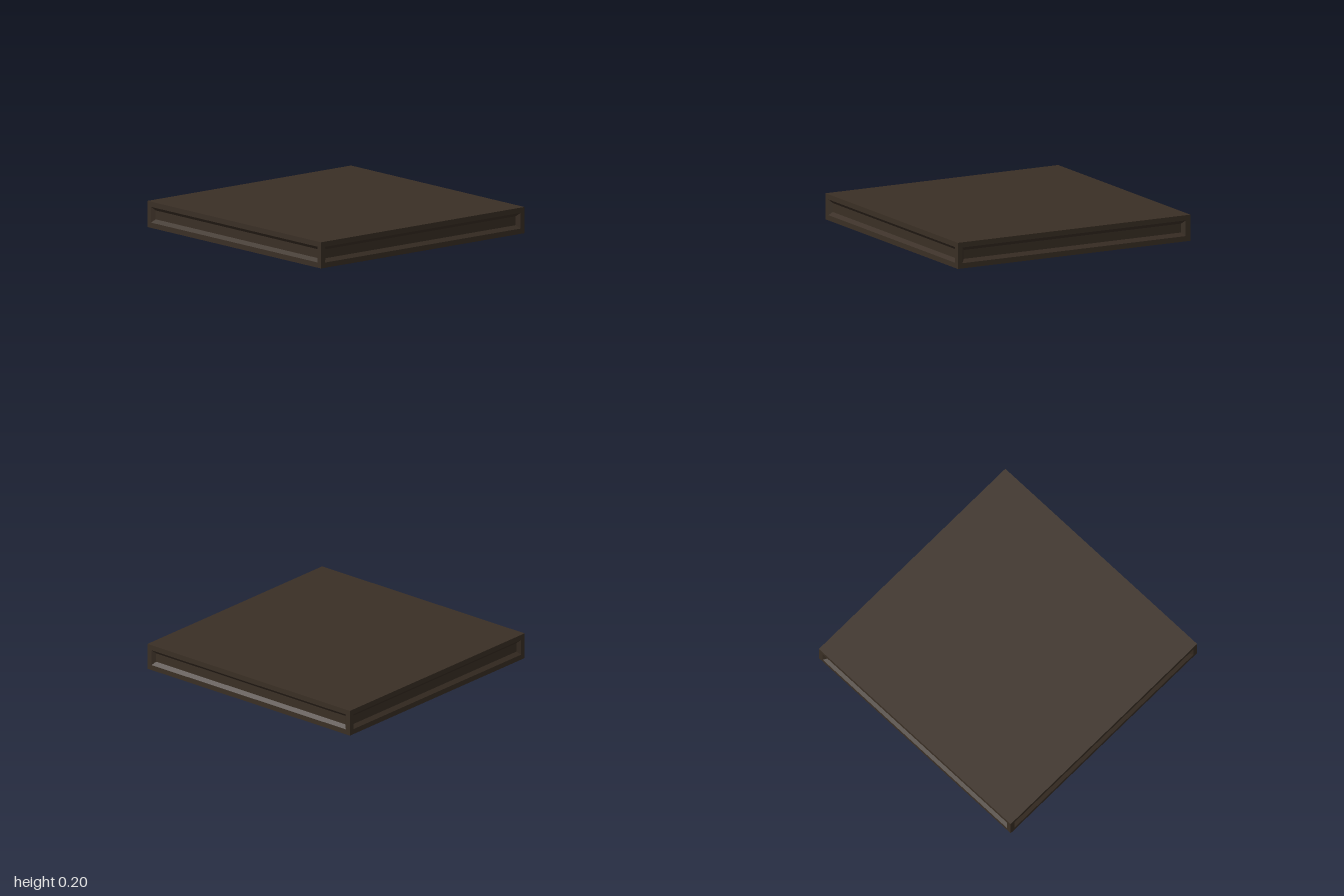
import * as THREE from 'three';

// rectangle corners, counter-clockwise seen from +z
const rect = (x0, y0, x1, y1, z) => [[x0, y0, z], [x1, y0, z], [x1, y1, z], [x0, y1, z]];

// joins nested rectangles from the outside in, then closes the innermost one
function steppedPanel(loops) {
  const pos = [];
  const quad = (a, b, c, d) => pos.push(...a, ...b, ...c, ...a, ...c, ...d);
  for (let k = 0; k < loops.length - 1; k++) {
    for (let i = 0; i < 4; i++) {
      const j = (i + 1) % 4;
      quad(loops[k][i], loops[k][j], loops[k + 1][j], loops[k + 1][i]);
    }
  }
  quad(...loops[loops.length - 1]);
  const geo = new THREE.BufferGeometry();
  geo.setAttribute('position', new THREE.Float32BufferAttribute(pos, 3));
  geo.computeVertexNormals();
  return geo;
}

export function createModel() {
  const group = new THREE.Group();
  const brown = new THREE.MeshStandardMaterial({ color: 0x3a2f25 });
  brown.name = 'dark brown';
  const add = (name, geo) => {
    const mesh = new THREE.Mesh(geo, brown);
    mesh.name = name;
    group.add(mesh);
    return mesh;
  };

  // flat top
  add('top', new THREE.PlaneGeometry(2, 2).rotateX(-Math.PI / 2).translate(0, 0.2, 0));

  // four sides, each with a bevelled recess
  const side = steppedPanel([
    rect(-1, 0, 1, 0.2, 1),
    rect(-0.96, 0.04, 0.96, 0.16, 1),
    rect(-0.935, 0.066, 0.935, 0.134, 0.975),
  ]);
  ['frontSide', 'leftSide', 'backSide', 'rightSide'].forEach((name, i) => {
    add(name, side).rotation.y = i * Math.PI / 2;
  });

  // underside: four hollows with sloped outer walls, leaving a cross of ribs
  const quadrant = (sx, sy, a, b, z) => rect(
    Math.min(sx * a, sx * b), Math.min(sy * a, sy * b),
    Math.max(sx * a, sx * b), Math.max(sy * a, sy * b), z);
  for (const sx of [-1, 1]) {
    for (const sy of [-1, 1]) {
      const geo = steppedPanel([
        quadrant(sx, sy, 0, 1, 0),
        quadrant(sx, sy, 0.09, 0.92, 0),
        quadrant(sx, sy, 0.09, 0.71, -0.13),
      ]);
      add(`underside${sy > 0 ? 'Front' : 'Back'}${sx > 0 ? 'Left' : 'Right'}`, geo.rotateX(Math.PI / 2));
    }
  }
  return group;
}
